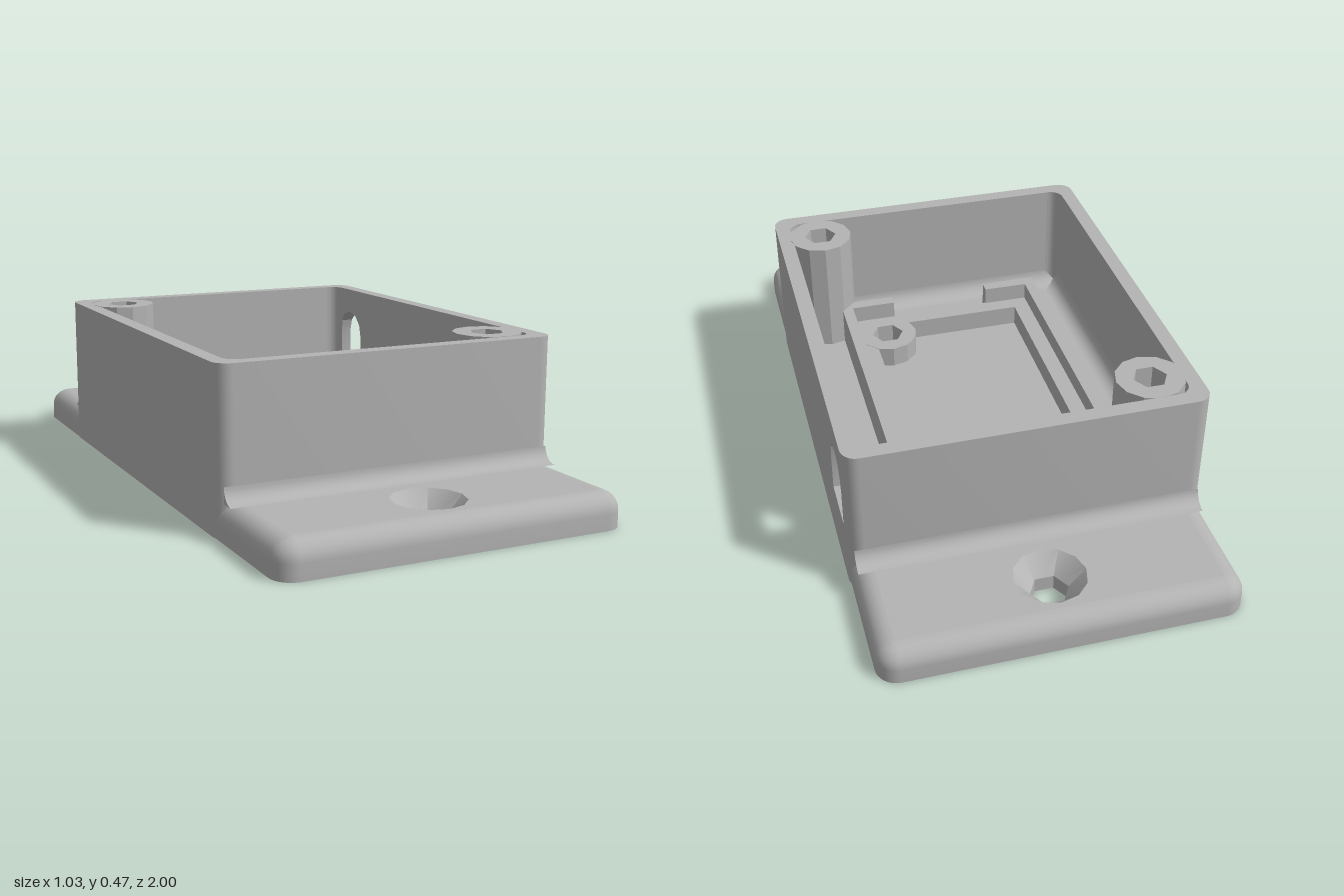
import * as THREE from 'three';
import { toCreasedNormals } from 'three/addons/utils/BufferGeometryUtils.js';

const V2 = (x, y) => new THREE.Vector2(x, y);

// Rounded rectangle as points in x and z, starting on the +x side
function outline(hx, hz, r, steps = 8) {
  const pts = [];
  [[1, 1], [-1, 1], [-1, -1], [1, -1]].forEach(([sx, sz], q) => {
    for (let i = 0; i <= steps; i++) {
      const a = (q + i / steps) * Math.PI / 2;
      pts.push(V2(sx * (hx - r) + r * Math.cos(a), sz * (hz - r) + r * Math.sin(a)));
    }
  });
  return pts;
}

function ngon(r, n, cx = 0, cz = 0) {
  return Array.from({ length: n }, (_, i) => {
    const a = i / n * Math.PI * 2;
    return V2(cx + r * Math.cos(a), cz + r * Math.sin(a));
  });
}

// Hexagon with its edge midpoints, so it can join a 12-sided ring
function hexRing(r, cx, cz) {
  const h = ngon(r, 6, cx, cz);
  return h.flatMap((p, i) => [p, p.clone().lerp(h[(i + 1) % 6], 0.5)]);
}

const rect = (hx, hz) => [V2(hx, hz), V2(-hx, hz), V2(-hx, -hz), V2(hx, -hz)];

function shapeOf(points, holes = []) {
  const s = new THREE.Shape(points);
  s.holes = holes.map(h => new THREE.Path(h));
  return s;
}

// Concave fillet section filling a right-angled corner at the origin
function covePoints(r, sx = 1, sz = 1) {
  const pts = [V2(0, 0)];
  for (let i = 0; i <= 8; i++) {
    const a = -Math.PI / 2 * (1 + i / 8);
    pts.push(V2(sx * (r + r * Math.cos(a)), sz * (r + r * Math.sin(a))));
  }
  return pts;
}

const crease = g => toCreasedNormals(g, 0.5);
const extrude = (shape, depth) => new THREE.ExtrudeGeometry(shape, { depth, bevelEnabled: false });

// Plan shape in x and z, raised from y0 to y1
const upright = (shape, y0, y1) => crease(extrude(shape, y1 - y0).rotateX(Math.PI / 2).translate(0, y1, 0));

// Skin through rings of equal point count, each [points, height]
function loft(rings) {
  const n = rings[0][0].length, pos = [], idx = [];
  rings.forEach(([pts, y]) => pts.forEach(p => pos.push(p.x, y, p.y)));
  for (let k = 0; k < rings.length - 1; k++) {
    for (let j = 0; j < n; j++) {
      const a = k * n + j, b = k * n + (j + 1) % n;
      idx.push(a, a + n, b, b, a + n, b + n);
    }
  }
  const g = new THREE.BufferGeometry();
  g.setAttribute('position', new THREE.Float32BufferAttribute(pos, 3));
  g.setIndex(idx);
  return crease(g);
}

export function createModel() {
  const model = new THREE.Group();
  model.name = 'enclosure';
  const grey = new THREE.MeshStandardMaterial({ color: 0xb4b4b4 });
  grey.name = 'grey plastic';
  const add = (name, geometry) => {
    const m = new THREE.Mesh(geometry, grey);
    m.name = name;
    model.add(m);
    return m;
  };

  const floorY = 0.1, rimY = 0.465;
  const screwZ = [-0.825, 0.825];

  // Base plate with rounded upper edge
  const edge = 0.055, rings = [[outline(0.51, 1, 0.06), 0]];
  for (let i = 0; i <= 8; i++) {
    const a = i / 8 * Math.PI / 2, inset = edge * (1 - Math.cos(a));
    rings.push([outline(0.51 - inset, 1 - inset, 0.06 - inset), floorY - edge + edge * Math.sin(a)]);
  }
  add('baseEdge', loft(rings));
  const topShape = shapeOf(rings.at(-1)[0], screwZ.map(z => ngon(0.103, 12, 0, z)));
  add('baseTop', new THREE.ShapeGeometry(topShape).rotateX(-Math.PI / 2).translate(0, floorY, 0));
  const bottomShape = shapeOf(rings[0][0], screwZ.map(z => hexRing(0.055, 0, z)));
  add('baseBottom', new THREE.ShapeGeometry(bottomShape).rotateX(Math.PI / 2));

  // Countersunk screw holes
  for (const z of screwZ) {
    const hex = hexRing(0.055, 0, z);
    add('countersink', loft([[ngon(0.103, 12, 0, z), floorY], [hex, 0.045]]));
    add('screwHole', loft([[hex, 0.045], [hex, 0]]));
  }

  // Three walls in one piece, open on the left side
  const walls = [...outline(0.515, 0.645, 0.045),
    V2(0.47, -0.6), V2(-0.47, -0.6), V2(-0.47, 0.6), V2(0.47, 0.6)];
  add('walls', upright(shapeOf(walls), 0.002, rimY));

  // Left wall with arched cable opening
  const arch = [V2(0.42, 0.19), V2(0.58, 0.19)];
  for (let i = 0; i <= 6; i++) {
    const a = i / 6 * Math.PI;
    arch.push(V2(0.5 + 0.08 * Math.cos(a), 0.305 + 0.08 * Math.sin(a)));
  }
  const side = shapeOf([V2(-0.6, 0.002), V2(0.6, 0.002), V2(0.6, rimY), V2(-0.6, rimY)], [arch]);
  add('cableWall', crease(extrude(side, 0.045).rotateY(Math.PI / 2).translate(0.47, 0, 0)));

  // Fillets: inner corners, inner floor, outer wall to flange
  for (const sx of [-1, 1]) for (const sz of [-1, 1]) {
    const g = upright(shapeOf(covePoints(0.04, -sx, -sz)), floorY, rimY);
    add('cornerFillet', g.translate(sx * 0.47, 0, sz * 0.6));
  }
  const cove = (name, r, length, x, z, turn) => {
    const g = crease(extrude(shapeOf(covePoints(r)), length).translate(0, 0, -length / 2));
    const m = add(name, g);
    m.position.set(x, floorY, z);
    m.rotation.y = turn;
  };
  for (const s of [-1, 1]) {
    cove('floorFillet', 0.05, 1.2, s * 0.47, 0, s > 0 ? Math.PI : 0);
    cove('floorFillet', 0.05, 0.94, 0, s * 0.6, s * Math.PI / 2);
    cove('flangeFillet', 0.045, 1.0, 0, s * 0.645, -s * Math.PI / 2);
  }

  // Board tray: ledge around a pocket, with a bracket along each side
  add('trayLedge', upright(shapeOf(rect(0.3, 0.425), [rect(0.25, 0.373)]), floorY, 0.165));
  for (const s of [-1, 1]) {
    const bracket = [[0.335, 0.458], [0.16, 0.458], [0.16, 0.422], [0.3, 0.422],
      [0.3, -0.422], [0.16, -0.422], [0.16, -0.458], [0.335, -0.458]];
    add('trayBracket', upright(shapeOf(bracket.map(([x, z]) => V2(s * x, z))), floorY, 0.22));
  }

  // Tall cover pillars and short board posts at opposite corners
  const post = (name, x, z, r, top) =>
    add(name, upright(shapeOf(ngon(r, 12, x, z), [ngon(0.05, 6, x, z)]), floorY, top));
  for (const s of [-1, 1]) {
    post('coverPillar', s * 0.38, s * 0.505, 0.1, rimY + 0.001);
    post('boardPost', s * 0.203, s * 0.327, 0.095, 0.166);
  }

  // Cable rest inside the opening
  add('cableRest', new THREE.BoxGeometry(0.165, 0.08, 0.075).translate(0.3925, 0.14, -0.505));

  return model;
}
